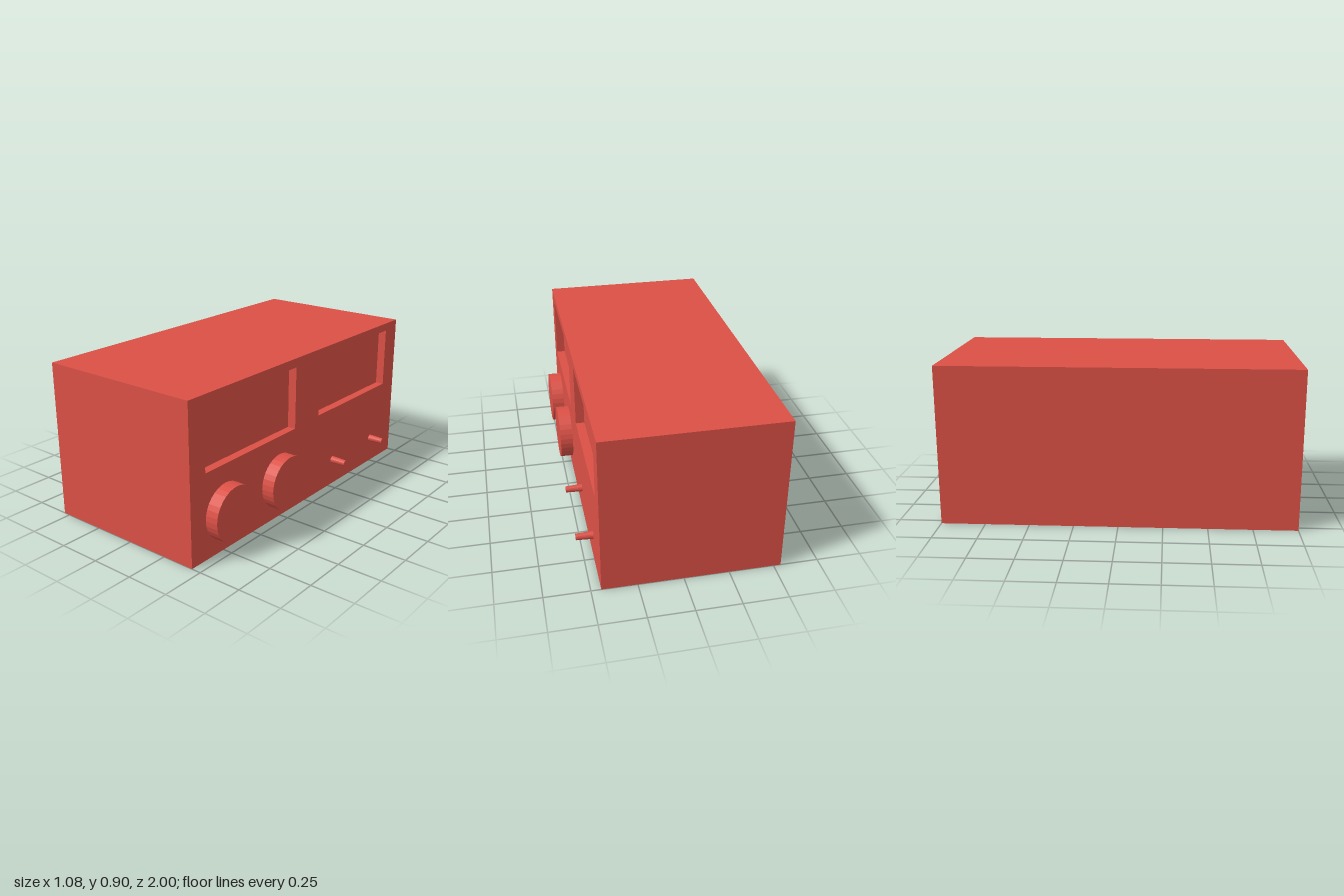
import * as THREE from 'three';

const FACE = 0.445, BACK = -0.54, HEIGHT = 0.905, RECESS = 0.05;

export function createModel() {
  const group = new THREE.Group();
  const red = new THREE.MeshStandardMaterial({ color: 0xdb5046, flatShading: true });
  red.name = 'red';

  const add = (name, geometry, x, y, z) => {
    const mesh = new THREE.Mesh(geometry, red);
    mesh.name = name;
    mesh.position.set(x, y, z);
    group.add(mesh);
    return mesh;
  };
  const rect = (path, u0, v0, u1, v1) =>
    path.moveTo(u0, v0).lineTo(u1, v0).lineTo(u1, v1).lineTo(u0, v1).closePath();

  // Main case, stopping at the floor of the recesses
  const depth = FACE - RECESS - BACK;
  add('case', new THREE.BoxGeometry(depth, HEIGHT, 2), BACK + depth / 2, HEIGHT / 2, 0);

  // Front panel with two rectangular display openings (u runs along -z)
  const panel = rect(new THREE.Shape(), -1, 0, 1, HEIGHT);
  for (const [u0, v0, u1, v1] of [[-0.885, 0.49, -0.115, 0.853], [0.122, 0.5, 0.874, 0.858]]) {
    panel.holes.push(rect(new THREE.Path(), u0, v0, u1, v1));
  }
  const panelGeometry = new THREE.ExtrudeGeometry(panel, { depth: RECESS, bevelEnabled: false });
  panelGeometry.rotateY(Math.PI / 2);
  add('controlPanel', panelGeometry, FACE - RECESS, 0, 0);

  // Round knobs and small switch pins standing out from the panel
  const peg = (name, tip, base, length, sides, y, z) => {
    const geometry = new THREE.CylinderGeometry(tip, base, length, sides);
    geometry.rotateZ(-Math.PI / 2);
    add(name, geometry, FACE + length / 2, y, z);
  };
  for (const z of [0.73, 0.26]) peg('knob', 0.158, 0.158, 0.075, 32, 0.226, z);
  for (const z of [-0.292, -0.742]) peg('switchPin', 0.018, 0.022, 0.095, 16, 0.161, z);

  return group;
}
